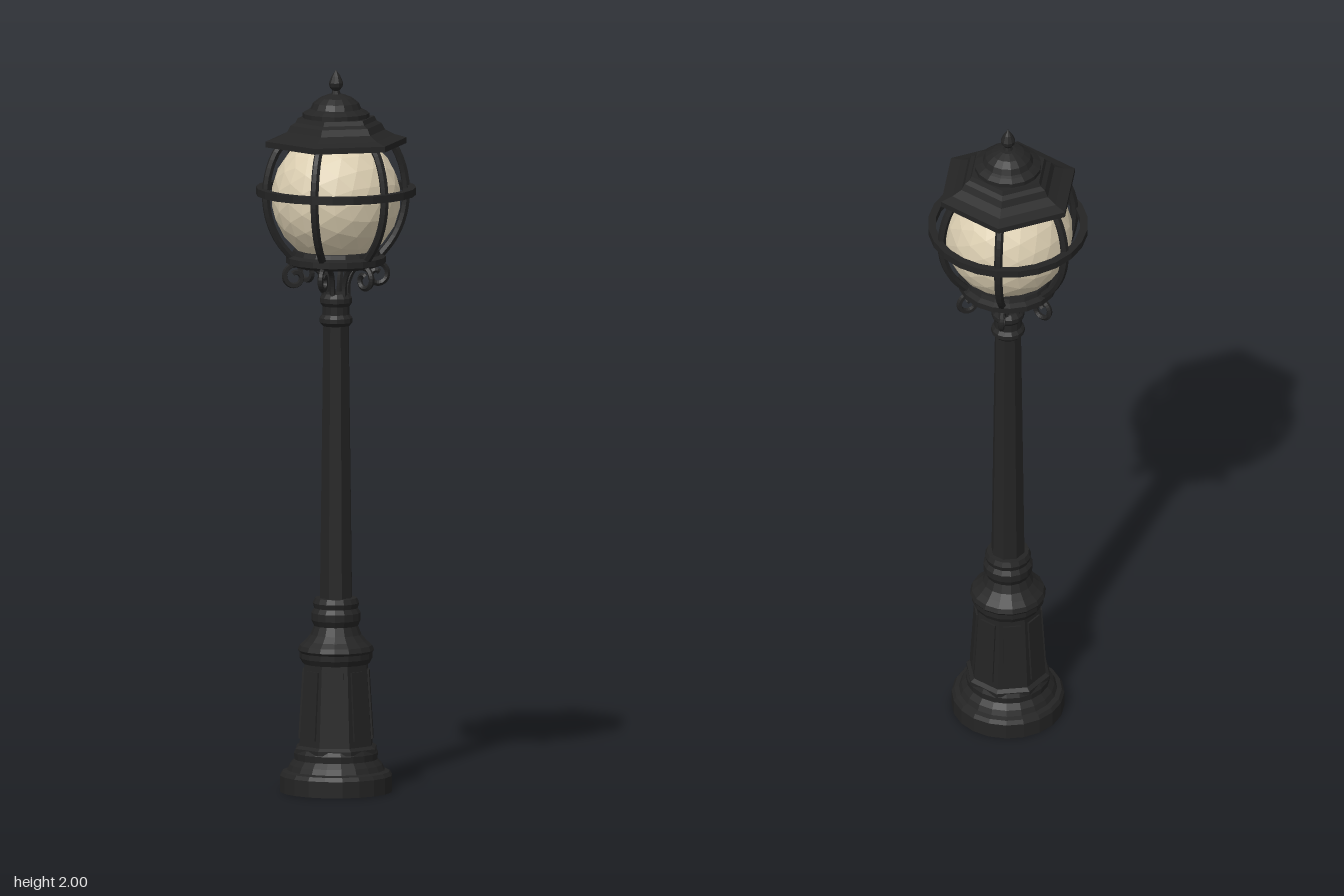
import * as THREE from 'three';

export function createModel() {
  const model = new THREE.Group();
  model.name = 'streetLamp';

  const iron = new THREE.MeshStandardMaterial({ color: 0x242424 });
  iron.name = 'blackIron';
  const glass = new THREE.MeshStandardMaterial({ color: 0xdccfb2 });
  glass.name = 'creamGlass';

  // Faceted normals for the low-poly look
  const flat = (geo) => {
    const g = geo.index ? geo.toNonIndexed() : geo;
    g.computeVertexNormals();
    return g;
  };
  const add = (name, geo, mat = iron, parent = model) => {
    const mesh = new THREE.Mesh(flat(geo), mat);
    mesh.name = name;
    parent.add(mesh);
    return mesh;
  };
  // Turned part from [radius, height] pairs listed from bottom to top
  const turned = (name, pairs, sides, phase = 0) =>
    add(name, new THREE.LatheGeometry(pairs.map(([r, y]) => new THREE.Vector2(r, y)), sides, phase));
  // Repeats a part around the lamp axis, first copy on +x
  const ring = (name, count, phase, build) => {
    const set = new THREE.Group();
    set.name = name;
    for (let i = 0; i < count; i++) {
      const arm = new THREE.Group();
      arm.rotation.y = phase + (i * Math.PI * 2) / count;
      build(arm);
      set.add(arm);
    }
    model.add(set);
  };
  const tube = (pts, steps, radius, sides) =>
    new THREE.TubeGeometry(
      new THREE.CatmullRomCurve3(pts.map(([x, y]) => new THREE.Vector3(x, y, 0))), steps, radius, sides);

  // Foot and pedestal
  turned('foot', [[0, 0], [0.155, 0], [0.155, 0.045], [0.148, 0.056], [0.135, 0.06], [0.128, 0.075],
    [0.115, 0.09], [0.116, 0.108], [0.11, 0.12], [0, 0.12]], 20);
  const eighth = Math.PI / 8;
  turned('pedestal', [[0, 0.11], [0.118, 0.11], [0.118, 0.122], [0.107, 0.13], [0.092, 0.36], [0, 0.36]], 8, eighth);
  ring('pedestalPanels', 8, 0, (arm) => {
    const panel = add('panel', new THREE.BoxGeometry(0.008, 0.19, 0.05), iron, arm);
    panel.position.set(0.093, 0.243, 0);
    panel.rotation.z = 0.06;
  });
  turned('pedestalCap', [[0, 0.35], [0.092, 0.355], [0.1, 0.37], [0.1, 0.385], [0.105, 0.392], [0.1, 0.405],
    [0.085, 0.418], [0.07, 0.435], [0.06, 0.46], [0, 0.46]], 16);
  turned('lowerCollar', [[0, 0.455], [0.06, 0.458], [0.068, 0.475], [0.068, 0.495], [0.06, 0.508],
    [0.064, 0.522], [0.058, 0.536], [0, 0.54]], 16);

  // Tapered post and upper collar
  turned('post', [[0, 0.53], [0.047, 0.53], [0.037, 1.31], [0, 1.31]], 8, eighth);
  turned('upperCollar', [[0, 1.29], [0.037, 1.29], [0.046, 1.3], [0.046, 1.312], [0.038, 1.322],
    [0.038, 1.345], [0.045, 1.355], [0.045, 1.368], [0.036, 1.38], [0, 1.385]], 14);

  // Six scrolled brackets
  ring('scrollBrackets', 6, 0, (arm) => {
    const pts = [[0.032, 1.36], [0.034, 1.41], [0.048, 1.442], [0.08, 1.46], [0.115, 1.461]];
    for (let i = 0; i <= 9; i++) {
      const a = Math.PI / 2 - 0.5 - i * 0.72;
      const r = 0.033 - i * 0.0025;
      pts.push([0.115 + r * Math.cos(a), 1.428 + r * Math.sin(a)]);
    }
    add('scroll', tube(pts, 44, 0.008, 5), iron, arm);
  });

  // Lantern seat
  turned('lanternSeat', [[0, 1.455], [0.112, 1.455], [0.137, 1.465], [0.137, 1.482], [0.122, 1.488],
    [0.118, 1.5], [0, 1.5]], 18);

  // Glass globe
  const globe = add('globe', new THREE.IcosahedronGeometry(0.178, 3), glass);
  globe.scale.y = 1.02;
  globe.position.y = 1.645;

  // Cage of six ribs with an equator band
  ring('cageRibs', 6, 0, (arm) => {
    add('rib', tube([[0.122, 1.48], [0.162, 1.53], [0.188, 1.59], [0.197, 1.655], [0.189, 1.72],
      [0.168, 1.775], [0.14, 1.81]], 16, 0.0115, 6), iron, arm);
  });
  turned('cageBand', [[0.199, 1.654], [0.22, 1.654], [0.22, 1.675], [0.199, 1.675], [0.199, 1.654]], 24);

  // Hexagonal roof with its corners on the x axis
  turned('roof', [[0, 1.79], [0.198, 1.79], [0.198, 1.806], [0.165, 1.816], [0.138, 1.83], [0.128, 1.848],
    [0.114, 1.856], [0.108, 1.868], [0, 1.868]], 6, Math.PI / 2);

  // Round crown and finial
  turned('roofCrown', [[0, 1.86], [0.092, 1.86], [0.092, 1.88], [0.078, 1.888], [0.07, 1.892], [0.063, 1.908],
    [0.045, 1.922], [0.022, 1.931], [0, 1.934]], 16);
  turned('finial', [[0, 1.925], [0.014, 1.928], [0.01, 1.942], [0.018, 1.952], [0.02, 1.963],
    [0.012, 1.982], [0, 2]], 10);

  return model;
}
